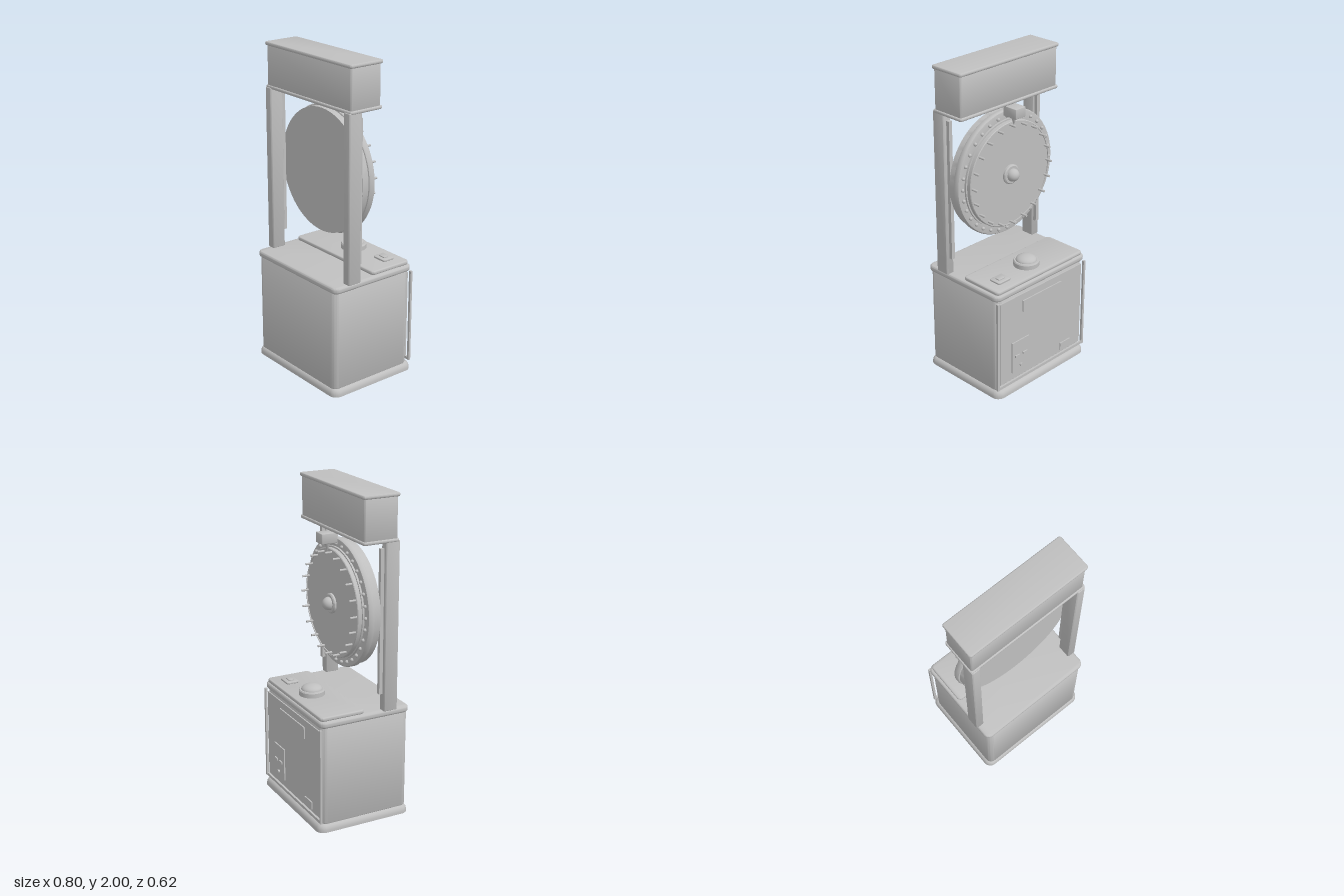
import * as THREE from 'three';
import { toCreasedNormals } from 'three/addons/utils/BufferGeometryUtils.js';

const grey = new THREE.MeshStandardMaterial({ color: 0xbfbfbf });
grey.name = 'plain grey';

export function createModel() {
  const model = new THREE.Group();
  model.name = 'prizeWheelMachine';

  const add = (name, geometry, x = 0, y = 0, z = 0, parent = model) => {
    const mesh = new THREE.Mesh(geometry, grey);
    mesh.name = name;
    mesh.position.set(x, y, z);
    parent.add(mesh);
    return mesh;
  };

  // Rounded-rectangle slab standing on y = 0, with softened top and bottom edges
  const slab = (w, h, d, r, b) => {
    const x = w / 2 - b, y = d / 2 - b, c = Math.max(r - b, 0.002);
    const s = new THREE.Shape();
    s.absarc(x - c, y - c, c, 0, Math.PI / 2);
    s.absarc(c - x, y - c, c, Math.PI / 2, Math.PI);
    s.absarc(c - x, c - y, c, Math.PI, Math.PI * 1.5);
    s.absarc(x - c, c - y, c, Math.PI * 1.5, Math.PI * 2);
    s.closePath();
    const g = new THREE.ExtrudeGeometry(s, {
      depth: h - 2 * b, bevelThickness: b, bevelSize: b, bevelSegments: 4, curveSegments: 6,
    });
    g.translate(0, 0, b).rotateX(-Math.PI / 2);
    return toCreasedNormals(g, 0.6);
  };
  const box = (w, h, d) => new THREE.BoxGeometry(w, h, d);
  const lathe = (points, n = 48) => toCreasedNormals(
    new THREE.LatheGeometry(points.map(([r, y]) => new THREE.Vector2(r, y)), n), 0.6);

  // Plinth: only the upper edge is rounded
  const plinth = slab(0.784, 0.1, 0.616, 0.05, 0.035);
  plinth.translate(0, -0.05, 0);
  const p = plinth.attributes.position;
  for (let i = 0; i < p.count; i++) p.setY(i, Math.max(0, p.getY(i)));
  add('plinth', toCreasedNormals(plinth, 0.6));

  // Cabinet and its top
  add('cabinet', slab(0.75, 0.63, 0.58, 0.04, 0.008), 0, 0.045, 0.008);
  add('cabinetTop', slab(0.776, 0.04, 0.596, 0.04, 0.014), 0, 0.666, 0.004);
  add('console', slab(0.74, 0.026, 0.29, 0.025, 0.01), 0, 0.704, -0.14);

  // Big push button
  add('buttonCollar', lathe([[0, 0], [0.079, 0], [0.079, 0.028], [0.074, 0.035], [0, 0.035]]), 0, 0.729, -0.157);
  const dome = new THREE.SphereGeometry(0.065, 32, 10, 0, Math.PI * 2, 0, Math.PI / 2);
  dome.scale(1, 0.5, 1);
  add('buttonDome', dome, 0, 0.762, -0.157);

  // Small switch
  add('switchPlate', slab(0.1, 0.013, 0.082, 0.012, 0.004), 0.25, 0.729, -0.184);
  add('switchKey', slab(0.05, 0.008, 0.033, 0.004, 0.002), 0.25, 0.74, -0.184);

  // Service side of the cabinet
  add('servicePanel', box(0.71, 0.56, 0.012), 0, 0.365, -0.283);
  add('displayPlate', box(0.335, 0.075, 0.009), 0, 0.562, -0.292);
  add('coinPlate', box(0.145, 0.21, 0.009), 0.187, 0.235, -0.292);
  for (const x of [0.155, 0.22]) add('coinSlot', box(0.035, 0.015, 0.01), x, 0.24, -0.3);
  const knob = new THREE.CylinderGeometry(0.011, 0.011, 0.014, 16);
  knob.rotateX(Math.PI / 2);
  add('coinKnob', knob, 0.187, 0.165, -0.301);
  add('ticketPlate', box(0.09, 0.05, 0.009), -0.215, 0.125, -0.292);
  add('bottomTrim', box(0.74, 0.018, 0.014), 0, 0.07, -0.291);

  // Corner trims, posts and light strips
  for (const s of [1, -1]) {
    add('cornerTrim', box(0.016, 0.6, 0.014), s * 0.377, 0.36, -0.292);
    add('post', slab(0.056, 1.024, 0.09, 0.01, 0.004), s * 0.368, 0.704, 0.162);
    add('lightStrip', box(0.024, 0.875, 0.024), s * 0.362, 1.247, 0.107);
  }

  // Header sign
  add('headerBox', slab(0.78, 0.26, 0.216, 0.012, 0.005), 0, 1.73, 0.086);
  add('headerBase', slab(0.796, 0.02, 0.232, 0.014, 0.007), 0, 1.72, 0.086);
  add('headerCap', slab(0.798, 0.022, 0.236, 0.014, 0.008), 0, 1.978, 0.086);

  // Wheel, turned so that its local +y faces -z
  const wheel = new THREE.Group();
  wheel.name = 'wheel';
  wheel.position.set(0, 1.284, 0);
  wheel.rotation.x = -Math.PI / 2;
  model.add(wheel);
  add('wheelDisc', lathe([
    [0, -0.095], [0.38, -0.095], [0.38, -0.054], [0.387, -0.052], [0.392, -0.044],
    [0.392, -0.022], [0.387, -0.014], [0.38, -0.012], [0.34, -0.012], [0.34, 0],
    [0.331, 0], [0.331, 0.023], [0.327, 0.027], [0.322, 0.027], [0.322, 0.021], [0, 0.021],
  ], 96), 0, 0, 0, wheel);

  const ring = (name, geometry, count, radius, y) => {
    for (let i = 0; i < count; i++) {
      const a = i / count * Math.PI * 2;
      add(name, geometry, Math.cos(a) * radius, y, Math.sin(a) * radius, wheel);
    }
  };
  ring('peg', new THREE.CylinderGeometry(0.007, 0.007, 0.048, 10), 20, 0.31, 0.042);
  ring('bulb', new THREE.SphereGeometry(0.011, 12, 8), 32, 0.36, 0.013 - 0.02);

  // Hub
  add('hubPlate', lathe([[0, 0.02], [0.061, 0.02], [0.061, 0.032], [0.054, 0.038], [0, 0.038]]), 0, 0, 0, wheel);
  add('hubCap', new THREE.SphereGeometry(0.04, 24, 16), 0, 0.042, 0, wheel);

  // Pointer hanging from the header
  add('pointerBracket', slab(0.08, 0.062, 0.105, 0.006, 0.004), 0, 1.657, -0.053);
  const tip = new THREE.ConeGeometry(0.02, 0.06, 16);
  tip.rotateX(Math.PI);
  add('pointerTip', tip, 0, 1.63, -0.05);

  return model;
}
